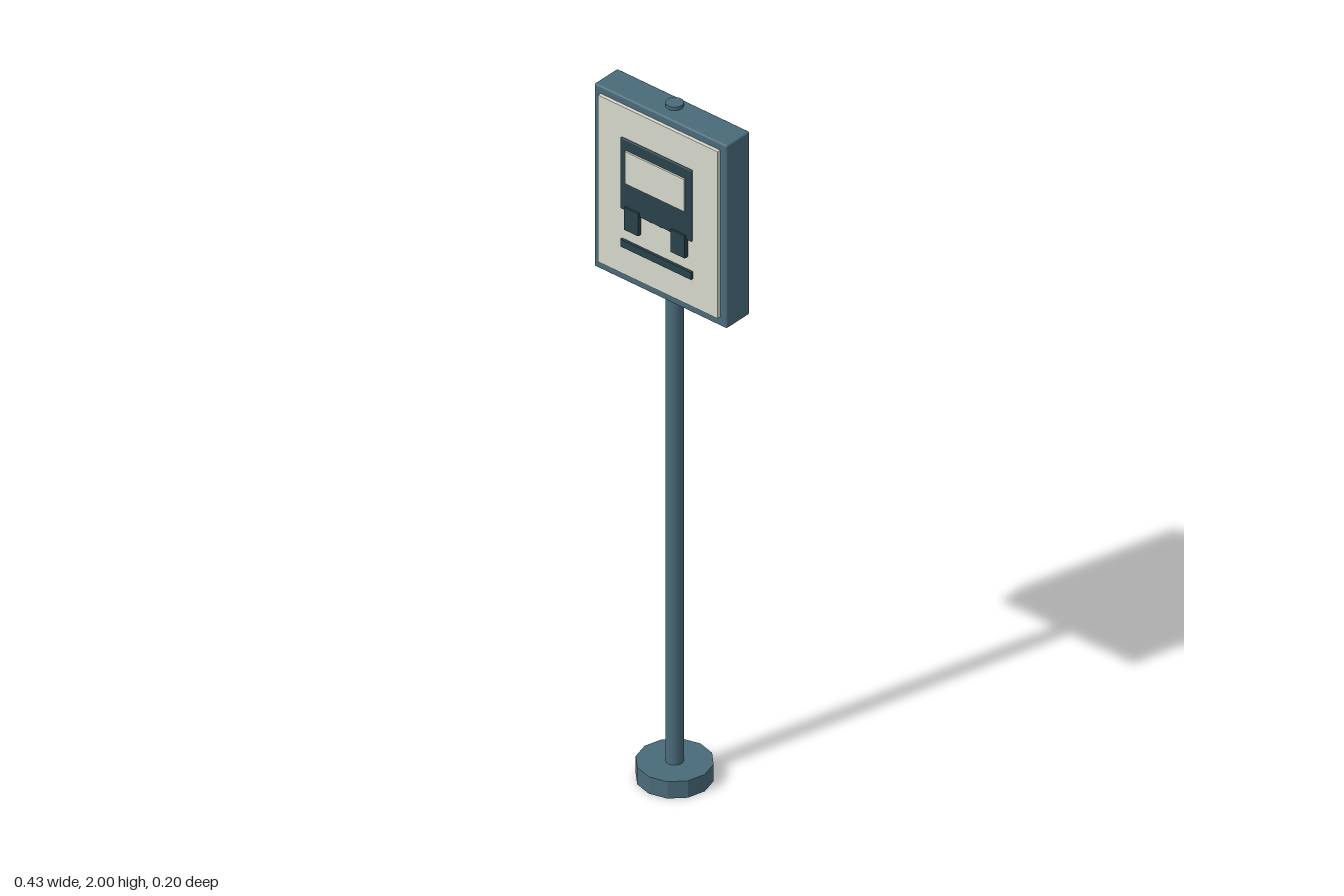
import * as THREE from 'three';
import { RoundedBoxGeometry } from 'three/addons/geometries/RoundedBoxGeometry.js';

const mat = (color, flatShading = false) => new THREE.MeshStandardMaterial({ color, flatShading });

export function createModel() {
  const group = new THREE.Group();
  const steel = mat(0x4a6b7a), steelFlat = mat(0x4a6b7a, true);
  const pale = mat(0xd6d8cc), dark = mat(0x2a414b);

  const add = (name, geometry, material) => {
    const mesh = new THREE.Mesh(geometry, material);
    mesh.name = name;
    group.add(mesh);
    return mesh;
  };
  // Box given by its limits, with slightly softened edges
  const slab = (name, [x0, x1], [y0, y1], [z0, z1], material, radius) => {
    const size = [x1 - x0, y1 - y0, z1 - z0];
    const geometry = radius ? new RoundedBoxGeometry(...size, 2, radius) : new THREE.BoxGeometry(...size);
    geometry.translate((x0 + x1) / 2, (y0 + y1) / 2, (z0 + z1) / 2);
    return add(name, geometry, material);
  };

  // Twelve-sided foot and the pole running through the sign box
  add('base', new THREE.CylinderGeometry(0.098, 0.098, 0.05, 12).translate(0, 0.025, 0), steelFlat);
  add('pole', new THREE.CylinderGeometry(0.023, 0.023, 1.96, 20).translate(0, 1.02, 0), steel);

  // Sign box and face panel
  slab('signBox', [-0.216, 0.216], [1.448, 1.99], [-0.034, 0.054], steel, 0.005);
  slab('facePanel', [-0.195, 0.195], [1.475, 1.969], [0.05, 0.064], pale);

  // Bus pictogram
  slab('busBody', [-0.116, 0.116], [1.671, 1.882], [0.065, 0.072], dark, 0.003);
  slab('busWindow', [-0.096, 0.096], [1.756, 1.851], [0.071, 0.077], pale);
  for (const side of [-1, 1]) {
    const x = side * 0.076;
    slab(side < 0 ? 'rightWheel' : 'leftWheel', [x - 0.023, x + 0.023], [1.618, 1.685], [0.065, 0.077], dark);
  }
  slab('roadLine', [-0.115, 0.115], [1.559, 1.581], [0.065, 0.072], dark);

  return group;
}
